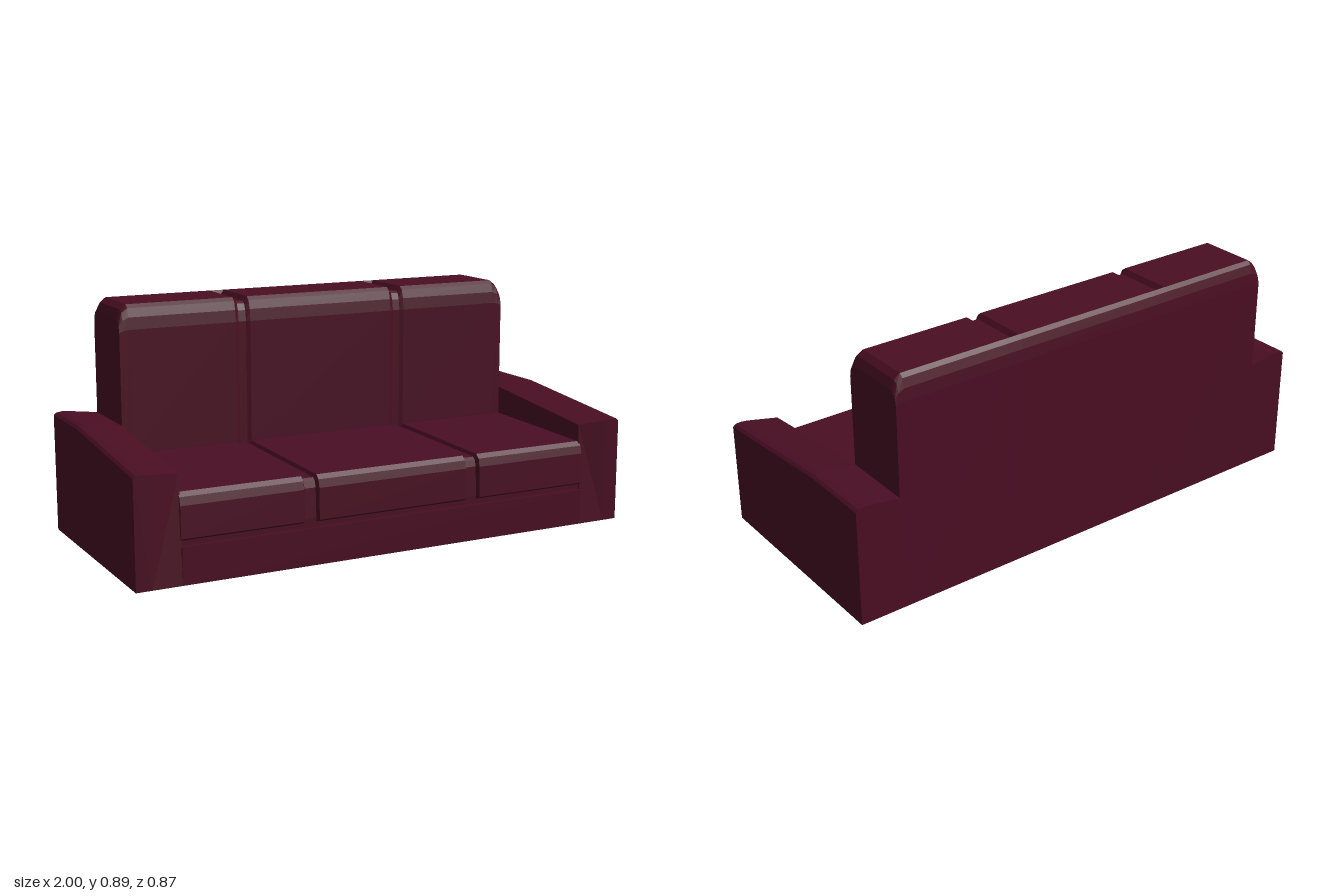
import * as THREE from 'three';

// Faceted skin over closed rings of [x, y, z] points, capped at both ends
function loft(rings) {
  const pos = [];
  const tri = (a, b, c) => pos.push(...a, ...b, ...c);
  const n = rings[0].length;
  for (let i = 0; i < rings.length - 1; i++) {
    for (let j = 0; j < n; j++) {
      const k = (j + 1) % n;
      const a = rings[i][j], b = rings[i + 1][j], c = rings[i + 1][k], d = rings[i][k];
      tri(a, b, c);
      tri(a, c, d);
    }
  }
  const first = rings[0], last = rings[rings.length - 1];
  for (let j = 1; j < n - 1; j++) {
    tri(first[0], first[j], first[j + 1]);
    tri(last[0], last[j + 1], last[j]);
  }
  const geo = new THREE.BufferGeometry();
  geo.setAttribute('position', new THREE.Float32BufferAttribute(pos, 3));
  geo.computeVertexNormals();
  return geo;
}

// Stations across the width: [x, end rounding, groove amount]
function stations(ends, wall) {
  const right = [[0.335 - 0.03, 0, 0], [0.335 - 0.03 + wall, 0, 1],
    [0.335 + 0.03 - wall, 0, 1], [0.335 + 0.03, 0, 0], ...ends];
  const left = right.map(([x, e, g]) => [-x, e, g]).reverse();
  return [...left, ...right];
}

export function createModel() {
  const group = new THREE.Group();
  const fabric = new THREE.MeshStandardMaterial({ color: 0x4a0e23 });
  fabric.name = 'burgundy fabric';
  const add = (name, geo) => {
    const mesh = new THREE.Mesh(geo, fabric);
    mesh.name = name;
    group.add(mesh);
    return mesh;
  };

  // Base with a recessed shadow gap under the cushions
  add('base', new THREE.BoxGeometry(1.66, 0.137, 0.864)).position.set(0, 0.0685, 0.001);
  add('recess', new THREE.BoxGeometry(1.66, 0.04, 0.8)).position.set(0, 0.15, 0.018);

  // Seat cushions: [z, y, groove dz, groove dy]
  const seatProfile = [
    [0.418, 0.156, 0, 0], [0.43, 0.164, -0.012, 0.006], [0.427, 0.28, -0.014, 0],
    [0.42, 0.31, -0.014, -0.006], [0.403, 0.325, -0.01, -0.012],
    [-0.17, 0.335, 0, -0.012], [-0.17, 0.156, 0, 0],
  ];
  add('seatCushions', loft(stations([[0.832, 0, 0]], 0.008).map(([x, , g]) =>
    seatProfile.map(([z, y, dz, dy]) => [x, y + g * dy, z + g * dz]))));

  // Backrest: [z, y, groove dz, groove dy, share of the end rounding]
  const backProfile = [
    [-0.151, 0, 0, 0, 0], [-0.151, 0.34, -0.006, 0, 0], [-0.151, 0.8, -0.006, 0, 0.2],
    [-0.156, 0.845, -0.008, -0.004, 0.6], [-0.166, 0.878, -0.008, -0.012, 0.9],
    [-0.182, 0.891, -0.004, -0.018, 1], [-0.398, 0.891, 0, -0.018, 1],
    [-0.404, 0.891, 0, 0, 1], [-0.419, 0.878, 0, 0, 0.9],
    [-0.429, 0.845, 0, 0, 0.6], [-0.433, 0.8, 0, 0, 0.2], [-0.433, 0, 0, 0, 0],
  ];
  const backEnds = [[0.79, 0, 0], [0.813, 0.018, 0], [0.828, 0.05, 0]];
  add('backrest', loft(stations(backEnds, 0.015).map(([x, e, g]) =>
    backProfile.map(([z, y, dz, dy, s]) => [x, y + g * dy - e * s, z + g * dz]))));

  // Arms: crowned top, level beside the backrest, then sloping to the front
  const armRear = [[0.94, 0], [0.828, 0], [0.828, 0.445], [0.94, 0.46],
    [0.97, 0.462], [0.99, 0.459], [1, 0.45], [1, 0]];
  const frontY = [0, 0, 0.39, 0.403, 0.407, 0.404, 0.395, 0];
  const rings = [
    armRear.map(([x, y]) => [x, y, -0.433]),
    armRear.map(([x, y]) => [x, y, -0.151]),
    armRear.map(([x], i) => [x, frontY[i], i === 2 ? 0.408 : 0.433]),
  ];
  add('leftArm', loft(rings));
  add('rightArm', loft(rings.map((ring) => {
    const [start, ...rest] = ring.map(([x, y, z]) => [-x, y, z]);
    return [start, ...rest.reverse()];
  })));

  return group;
}
